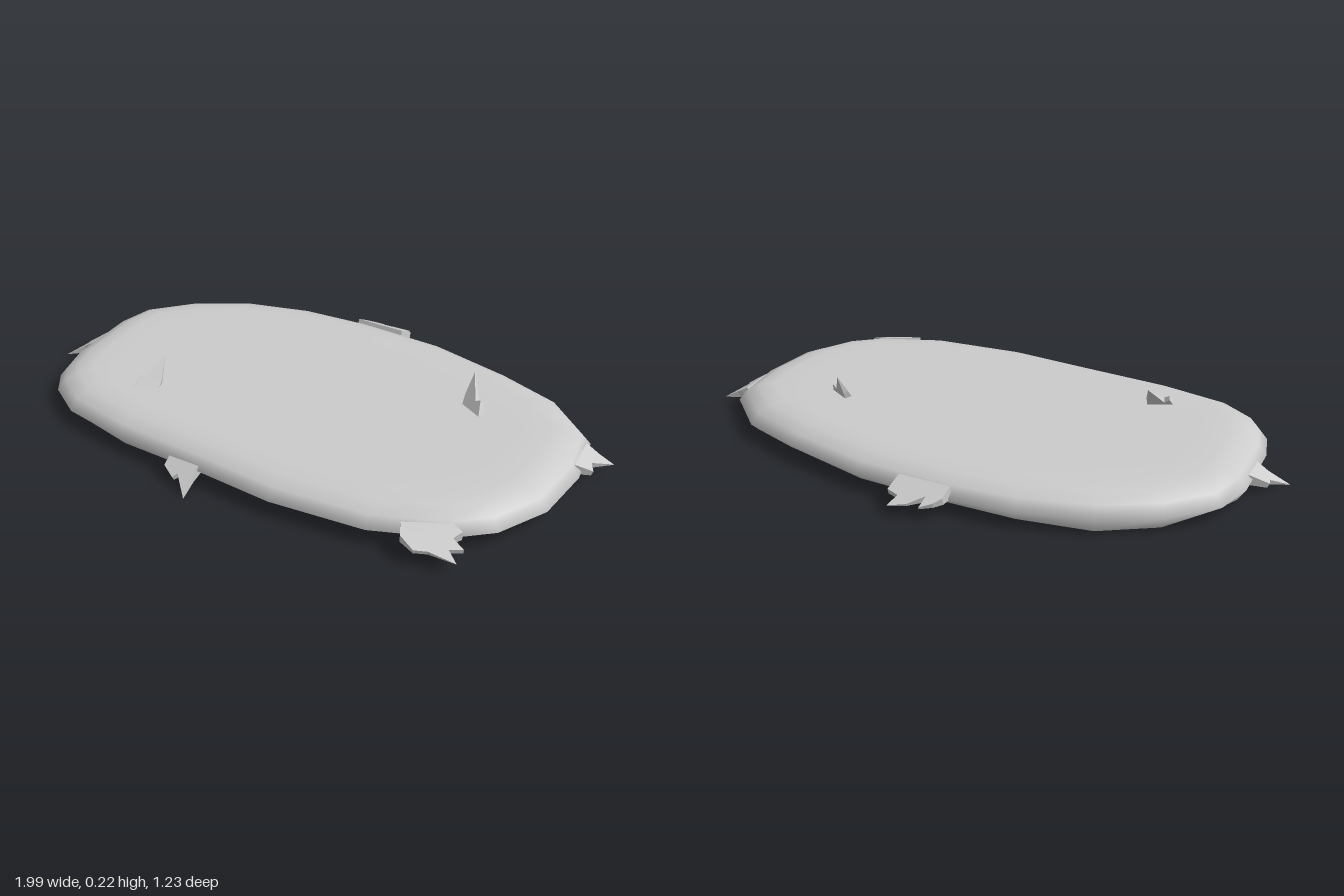
import * as THREE from 'three';

// Rim of the mat seen from above: x, z and the height of its lower edge
const RIM = [
  [-0.32, -0.51, 0.025], [-0.08, -0.53, 0.035], [0.23, -0.52, 0.035], [0.52, -0.455, 0.04],
  [0.74, -0.38, 0.035], [0.9, -0.235, 0.03], [0.93, -0.04, 0.035], [0.905, 0.17, 0.04],
  [0.815, 0.335, 0.045], [0.7, 0.43, 0.045], [0.47, 0.52, 0.04], [0.15, 0.55, 0.04],
  [-0.13, 0.53, 0.035], [-0.45, 0.51, 0.025], [-0.69, 0.465, 0.035], [-0.815, 0.385, 0.045],
  [-0.87, 0.305, 0.035], [-0.9, 0.19, 0.015], [-0.905, -0.065, 0.02], [-0.87, -0.2, 0.04],
  [-0.735, -0.34, 0.015], [-0.555, -0.445, 0.01],
];

// Rounded edge: inset from the rim and height (null = lower edge)
const EDGE = [[0.025, null], [0, 0.06], [0.03, 0.096], [0.075, 0.117], [0.13, 0.125], [0.22, 0.125]];

// Open-bottomed shell made of inset rings, closed on top by a fan
function matGeometry() {
  const n = RIM.length, pos = [], index = [];
  for (const [inset, y] of EDGE) {
    RIM.forEach(([x, z, low], i) => {
      const p = RIM[(i + n - 1) % n], q = RIM[(i + 1) % n];
      const dx = q[0] - p[0], dz = q[1] - p[1], len = Math.hypot(dx, dz);
      pos.push(x - (dz / len) * inset, y ?? low, z + (dx / len) * inset);
    });
  }
  for (let r = 0; r < EDGE.length - 1; r++) {
    for (let i = 0; i < n; i++) {
      const a = r * n + i, b = r * n + (i + 1) % n;
      index.push(a, a + n, b, b, a + n, b + n);
    }
  }
  const last = (EDGE.length - 1) * n, centre = EDGE.length * n;
  pos.push(0, 0.125, 0);
  for (let i = 0; i < n; i++) index.push(last + i, centre, last + (i + 1) % n);
  const geo = new THREE.BufferGeometry();
  geo.setAttribute('position', new THREE.Float32BufferAttribute(pos, 3));
  geo.setIndex(index);
  geo.computeVertexNormals();
  return geo;
}

// Jagged blades: root runs from a to b, blades grow along v and thin to their tips.
// Profile points are [fraction along root, fraction along v].
function tuftGeometry({ a, b, v, thick, profile }) {
  const shape = new THREE.Shape(profile.map(([s, h]) => new THREE.Vector2(s, h)));
  const geo = new THREE.ExtrudeGeometry(shape, { depth: 1, bevelEnabled: false });
  const origin = new THREE.Vector3(...a), grow = new THREE.Vector3(...v);
  const along = new THREE.Vector3(...b).sub(origin);
  const across = along.clone().cross(grow).setLength(thick);
  const p = geo.attributes.position;
  for (let i = 0; i < p.count; i++) {
    const h = p.getY(i), taper = Math.max(0.03, 1 - h);
    const out = origin.clone().addScaledVector(along, p.getX(i)).addScaledVector(grow, h)
      .addScaledVector(across, (p.getZ(i) - 0.5) * taper);
    p.setXYZ(i, out.x, out.y, out.z);
  }
  geo.computeVertexNormals();
  return geo;
}

const TUFTS = {
  backTuft: {
    a: [-0.11, 0.08, -0.51], b: [0.07, 0.08, -0.51], v: [0, -0.035, -0.11], thick: 0.045,
    profile: [[0, 0], [0.03, 0.4], [0.15, 0.62], [0.36, 0.82], [0.33, 0.45], [0.6, 0.82], [0.92, 1], [0.83, 0.62], [1.06, 0.52], [1, 0]],
  },
  frontLeftTuft: {
    a: [0.56, 0.075, 0.47], b: [0.7, 0.075, 0.4], v: [0.09, -0.025, 0.1], thick: 0.045,
    profile: [[0, 0], [-0.08, 0.35], [0.08, 0.7], [0.35, 0.72], [0.81, 1], [0.75, 0.66], [1.03, 0.64], [0.9, 0.36], [1.12, 0.2], [1, 0]],
  },
  leftTuft: {
    a: [0.89, 0.07, -0.19], b: [0.9, 0.07, -0.06], v: [0.1, -0.035, -0.06], thick: 0.04,
    profile: [[0, 0], [0.08, 0.22], [0.2, 0.45], [0.41, 1], [0.68, 0.4], [0.98, 0.55], [1, 0]],
  },
  rightTuft: {
    a: [-0.885, 0.06, 0], b: [-0.885, 0.06, 0.1], v: [-0.115, -0.05, 0.04], thick: 0.04,
    profile: [[0, 0], [0.2, 0.55], [0.4, 0.5], [0.8, 1], [0.85, 0.35], [1, 0]],
  },
  frontTuft: {
    a: [-0.235, 0.06, 0.515], b: [-0.125, 0.06, 0.515], v: [0.02, -0.055, 0.097], thick: 0.04,
    profile: [[0, 0], [-0.08, 0.3], [0.28, 0.55], [0.42, 0.4], [0.82, 1], [0.9, 0.4], [1, 0]],
  },
  topRightSpike: {
    a: [-0.545, 0.105, 0.325], b: [-0.455, 0.105, 0.28], v: [0.01, 0.1, -0.103], thick: 0.03,
    profile: [[0, 0], [0.08, 0.48], [0.3, 0.35], [0.6, 1], [0.9, 0.35], [1, 0]],
  },
  topLeftSpike: {
    a: [0.485, 0.105, -0.15], b: [0.565, 0.105, -0.105], v: [-0.02, 0.115, -0.075], thick: 0.03,
    profile: [[0, 0], [0.05, 0.4], [0.3, 1], [0.65, 0.4], [0.9, 0.5], [1, 0]],
  },
};

export function createModel() {
  const group = new THREE.Group();
  group.name = 'grassMat';

  // Smooth, open-bottomed mat
  const mat = new THREE.Mesh(matGeometry(),
    new THREE.MeshStandardMaterial({ color: 0xcccccc, side: THREE.DoubleSide }));
  mat.name = 'mat';
  group.add(mat);

  // Faceted blades around the rim and on top
  const bladeMaterial = new THREE.MeshStandardMaterial({ color: 0xcccccc, flatShading: true });
  for (const [name, spec] of Object.entries(TUFTS)) {
    const tuft = new THREE.Mesh(tuftGeometry(spec), bladeMaterial);
    tuft.name = name;
    group.add(tuft);
  }
  return group;
}
